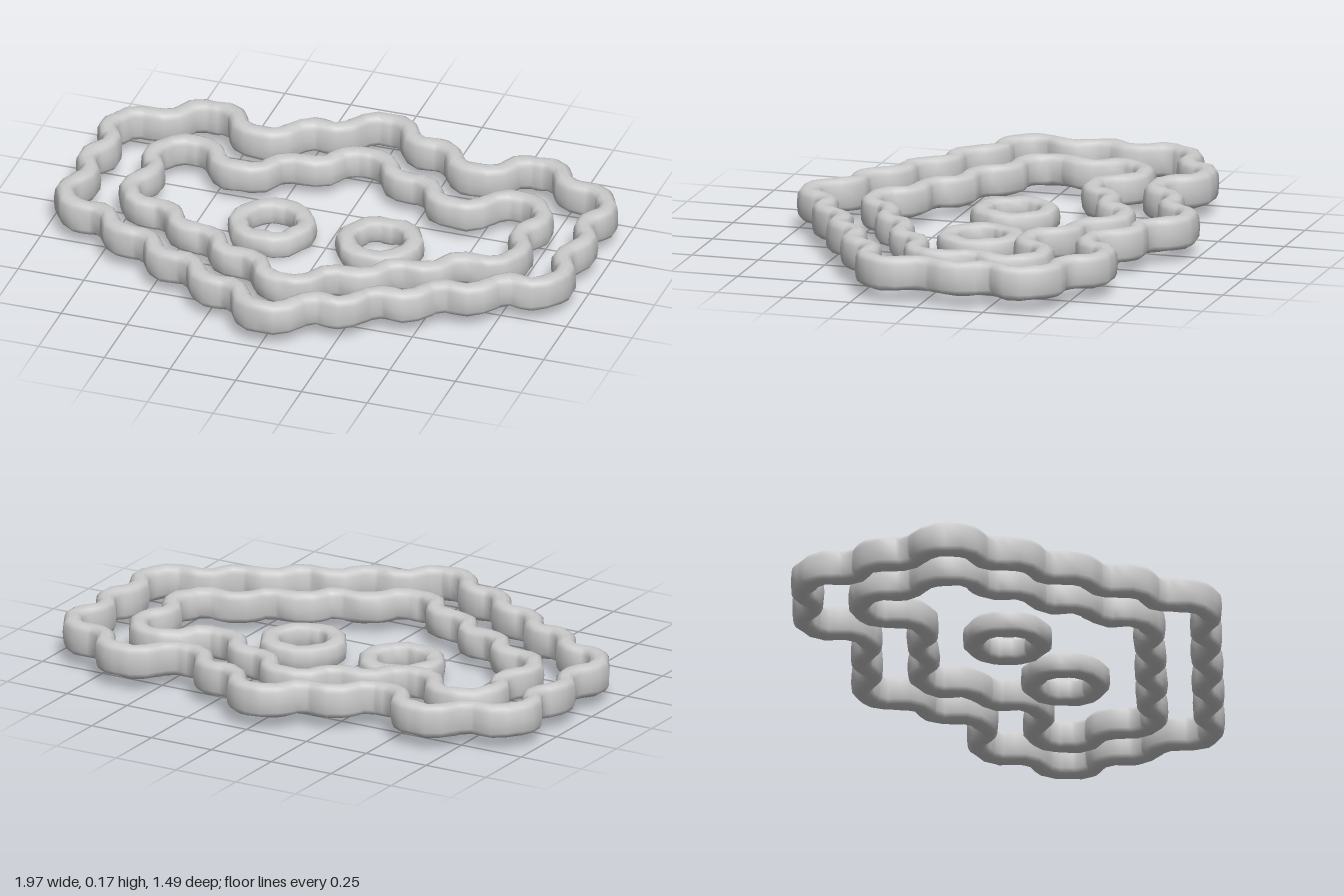
import * as THREE from 'three';

const U = 0.0685, V = 0.1175; // honeycomb lattice steps along x and z
const SIDES = 14;
const CUTS = [0.2, 0.4, 0.6, 0.8]; // samples on each edge, leaving the corners blunted

const material = new THREE.MeshStandardMaterial({ color: 0xcccccc });

// right half of each outline in lattice steps, from the back tip to the front tip
const OUTER = [[1, -6], [2, -5], [4, -5], [5, -4], [7, -4], [8, -5], [10, -5], [11, -4], [13, -4],
  [14, -3], [13, -2], [14, -1], [13, 0], [14, 1], [13, 2], [11, 2], [10, 3], [8, 3], [7, 4], [5, 4],
  [4, 5], [2, 5], [1, 6]];
const INNER = [[1, -4], [2, -3], [4, -3], [5, -2], [7, -2], [8, -3], [10, -3], [11, -2], [10, -1],
  [11, 0], [10, 1], [8, 1], [7, 2], [5, 2], [4, 3], [2, 3], [1, 4]];
const HEX = [[1, -1], [2, 0], [1, 1]];

const mirrored = half => [...half, ...half.map(([x, z]) => [-x, z]).reverse()];
const power = (v, e) => Math.sign(v) * Math.abs(v) ** e;

// closed band with a rounded, slightly lumpy section swept along a zigzag outline
function band(name, half, y0, y1, cx = 0) {
  const corners = mirrored(half).map(([x, z]) => new THREE.Vector2(x * U, z * V));
  const path = corners.flatMap((p, i) =>
    CUTS.map(t => p.clone().lerp(corners[(i + 1) % corners.length], t)));
  const n = path.length, pos = [], index = [];
  path.forEach((p, i) => {
    const t = path[(i + 1) % n].clone().sub(path[(i + n - 1) % n]).normalize();
    for (let j = 0; j < SIDES; j++) {
      const a = j / SIDES * Math.PI * 2;
      const lump = Math.sin(p.x * 41 + a * 2) * Math.sin(p.y * 37 + cx * 9 + a);
      const w = (0.038 + 0.003 * lump) * power(Math.cos(a), 0.75);
      const h = ((y1 - y0) / 2 - 0.003 + 0.003 * lump) * power(Math.sin(a), 0.6);
      pos.push(cx + p.x + t.y * w, (y0 + y1) / 2 + h, p.y - t.x * w);
      const k = (j + 1) % SIDES, m = (i + 1) % n;
      const A = i * SIDES + j, B = i * SIDES + k, C = m * SIDES + k, D = m * SIDES + j;
      index.push(A, B, C, A, C, D);
    }
  });
  const geometry = new THREE.BufferGeometry();
  geometry.setAttribute('position', new THREE.Float32BufferAttribute(pos, 3));
  geometry.setIndex(index);
  geometry.computeVertexNormals();
  const mesh = new THREE.Mesh(geometry, material);
  mesh.name = name;
  return mesh;
}

export function createModel() {
  const group = new THREE.Group();
  group.name = 'honeycombOutline';
  group.add(
    band('outerBand', OUTER, 0.04, 0.17),
    band('innerBand', INNER, 0.035, 0.155),
    band('leftHexRing', HEX, 0, 0.095, 3 * U),
    band('rightHexRing', HEX, 0, 0.095, -3 * U),
  );
  return group;
}
